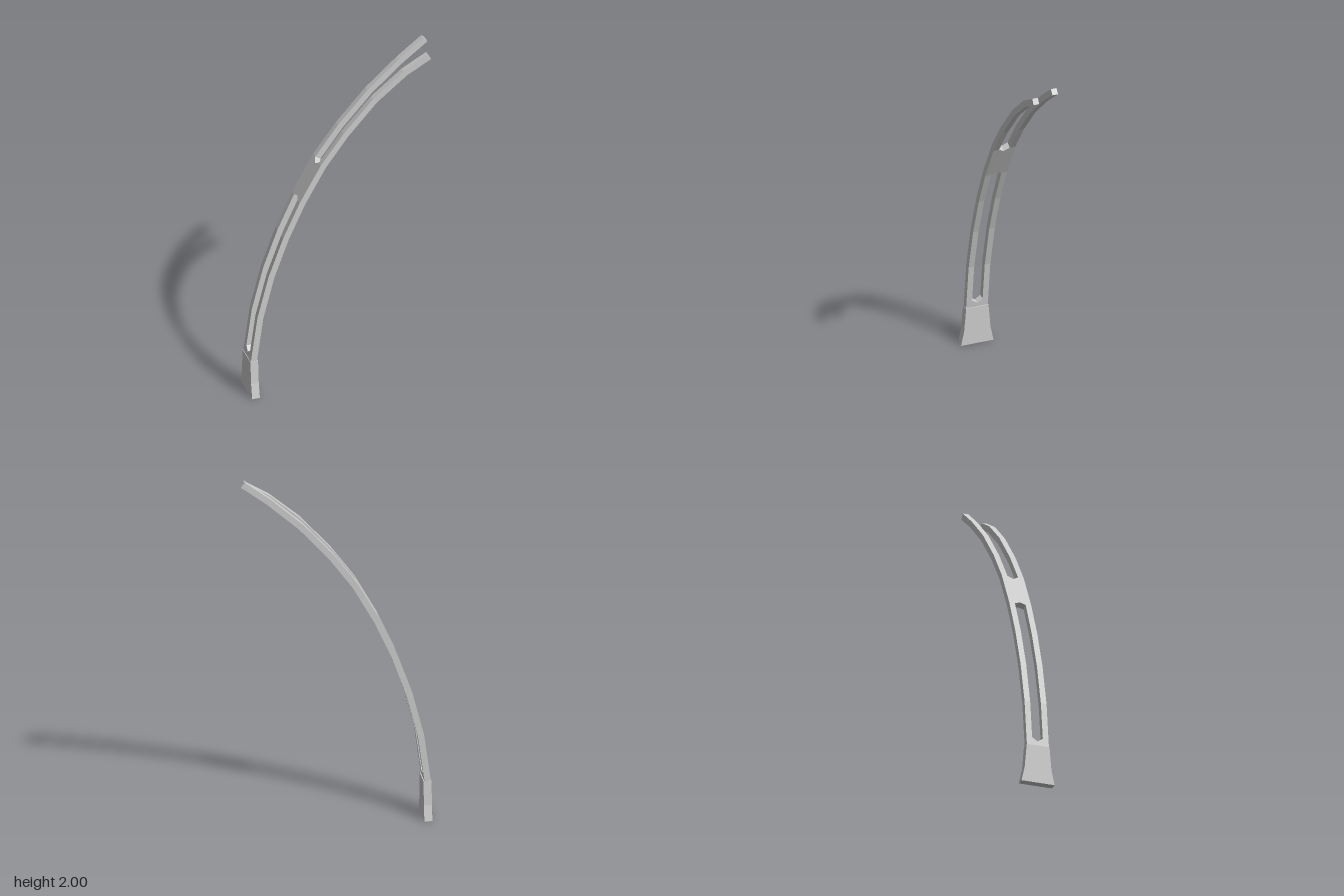
import * as THREE from 'three';

const THICK = 0.034, HALF = 0.062, GAP = 0.03;

// Outer edge of the curved arm in the x-y plane
const ARC = [[-0.505, 0.217], [-0.468, 0.487], [-0.405, 0.735], [-0.325, 0.958], [-0.232, 1.164],
  [-0.114, 1.376], [0.013, 1.55], [0.177, 1.735], [0.352, 1.892], [0.492, 2.0]];

// [position along the arc, half width of the slot there]
const ROWS = [[0, 0], [0.1, 0], [0.18, GAP], [1, GAP], [2, GAP], [3, GAP], [4, GAP], [4.06, 0],
  [4.91, 0], [5, GAP], [6, GAP], [7, GAP], [8, GAP], [9, GAP]];

function material() {
  return new THREE.MeshStandardMaterial({ color: 0xcccccc, flatShading: true });
}

// Pairs of outer and inner points, the inner ones set off square to the arc
function stations(points) {
  const outer = points.map(p => new THREE.Vector2(...p));
  return outer.map((p, i) => {
    const a = outer[Math.max(i - 1, 0)], b = outer[Math.min(i + 1, outer.length - 1)];
    const t = b.clone().sub(a).normalize();
    return [p, new THREE.Vector2(p.x + t.y * THICK, p.y - t.x * THICK)];
  });
}

// One lengthwise half of the arm; side is +1 (front) or -1 (back), splay bends the tip outward
function armHalf(points, side, splay) {
  const st = stations(points), pos = [];
  const tri = (a, b, c) => (side > 0 ? [a, b, c] : [a, c, b]).forEach(v => pos.push(...v));
  const rings = ROWS.map(([k, gap]) => {
    const i = Math.min(Math.floor(k), st.length - 2);
    const [o, n] = [0, 1].map(j => st[i][j].clone().lerp(st[i + 1][j], k - i));
    const shift = splay * Math.max(0, k - 7) / 2;
    const zi = side * (gap + shift), zo = side * (HALF + shift);
    return [[o.x, o.y, zi], [n.x, n.y, zi], [n.x, n.y, zo], [o.x, o.y, zo]];
  });
  for (let r = 0; r < rings.length - 1; r++) {
    const low = rings[r], high = rings[r + 1];
    const solid = ROWS[r][1] === 0 && ROWS[r + 1][1] === 0;
    for (let j = solid ? 1 : 0; j < 4; j++) {
      const m = (j + 1) % 4;
      tri(low[j], high[j], high[m]);
      tri(low[j], high[m], low[m]);
    }
  }
  // End cap at the tip
  const [a, b, c, d] = rings[rings.length - 1];
  tri(a, d, c);
  tri(a, c, b);
  const geo = new THREE.BufferGeometry();
  geo.setAttribute('position', new THREE.Float32BufferAttribute(pos, 3));
  geo.computeVertexNormals();
  return new THREE.Mesh(geo, material());
}

export function createModel() {
  const group = new THREE.Group();

  // Back half with a straight prong
  const back = armHalf(ARC, -1, 0);
  back.name = 'backArm';

  // Front half, whose prong droops and splays near the tip
  const front = armHalf([...ARC.slice(0, 8), [0.346, 1.877], [0.482, 1.957]], 1, 0.01);
  front.name = 'frontArm';

  // Flared foot
  const profile = [[0.093, 0], [0.075, 0.085], [0.064, 0.217]];
  const outline = [...profile, ...profile.map(([z, y]) => [-z, y]).reverse()];
  const shape = new THREE.Shape(outline.map(p => new THREE.Vector2(...p)));
  const footGeo = new THREE.ExtrudeGeometry(shape, { depth: 0.043, bevelEnabled: false });
  footGeo.rotateY(Math.PI / 2);
  const foot = new THREE.Mesh(footGeo, material());
  foot.name = 'foot';
  foot.position.x = -0.508;

  group.add(back, front, foot);
  group.children.forEach(m => { m.position.z = -0.0015; });
  return group;
}
